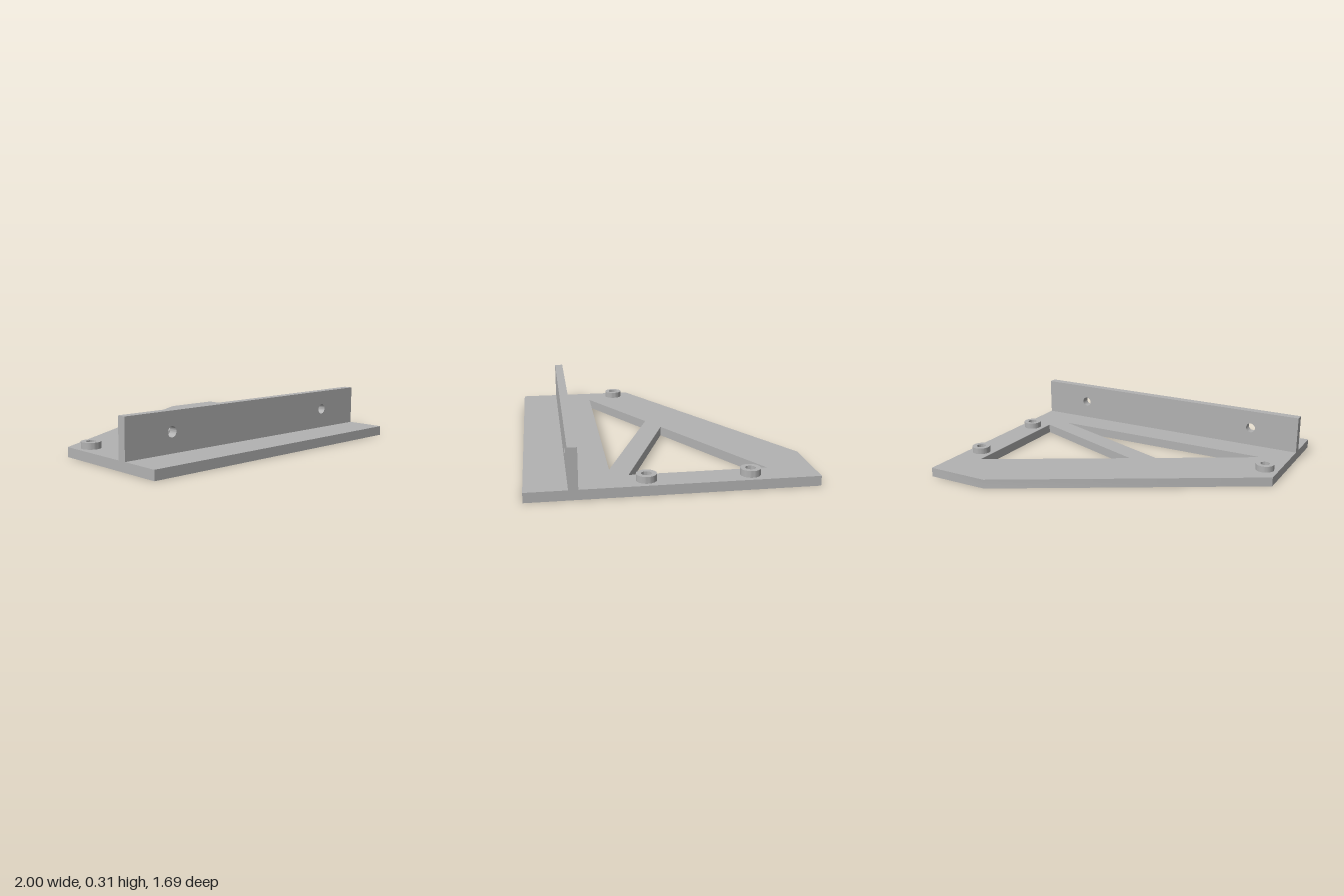
import * as THREE from 'three';
import { toCreasedNormals } from 'three/addons/utils/BufferGeometryUtils.js';

const PLATE_TOP = 0.06;
const BOSS_HEIGHT = 0.04;
const BOSS_CENTRES = [[0.91, -0.45], [0.91, 0.155], [-0.91, 0.155]];

// Closed outline from [x, y] pairs
const outline = (Type, points) => new Type(points.map(([x, y]) => new THREE.Vector2(x, y)));

// Round hole or disc
function circle(Type, x, y, radius) {
  const path = new Type();
  path.absarc(x, y, radius, 0, Math.PI * 2, false);
  return path;
}

// Straight extrusion with crisp edges and smooth bores
function extrude(shape, depth) {
  const geometry = new THREE.ExtrudeGeometry(shape, { depth, bevelEnabled: false, curveSegments: 24 });
  return toCreasedNormals(geometry, 0.6);
}

export function createModel() {
  const group = new THREE.Group();
  group.name = 'mountingBracket';
  const grey = new THREE.MeshStandardMaterial({ color: 0xb2b2b2 });
  grey.name = 'grey';

  const add = (name, geometry) => {
    const mesh = new THREE.Mesh(geometry, grey);
    mesh.name = name;
    group.add(mesh);
    return mesh;
  };
  // Plan points are [x, z]; the shape lies flat after the turn
  const plan = (points) => points.map(([x, z]) => [x, -z]);

  // Base plate with a chamfered rear corner and two triangular windows
  const plate = outline(THREE.Shape, plan([[-1, 0.847], [1, 0.847], [1, -0.847], [0.58, -0.847], [-1, 0.045]]));
  plate.holes.push(
    outline(THREE.Path, plan([[-0.05, -0.085], [0.82, -0.575], [0.82, 0.245]])),
    outline(THREE.Path, plan([[-0.2, 0], [0.72, 0.348], [-0.815, 0.348]])),
    ...BOSS_CENTRES.map(([x, z]) => circle(THREE.Path, x, -z, 0.03)),
  );
  add('basePlate', extrude(plate, PLATE_TOP).rotateX(-Math.PI / 2));

  // Upright flange with two screw holes
  const flange = outline(THREE.Shape, [[-1, PLATE_TOP], [1, PLATE_TOP], [1, 0.306], [-1, 0.306]]);
  for (const side of [-1, 1]) flange.holes.push(circle(THREE.Path, side * 0.667, 0.185, 0.032));
  add('uprightFlange', extrude(flange, 0.056)).position.z = 0.544;

  // Raised ring bosses around the plate holes
  const ring = circle(THREE.Shape, 0, 0, 0.06);
  ring.holes.push(circle(THREE.Path, 0, 0, 0.03));
  const ringGeometry = extrude(ring, BOSS_HEIGHT).rotateX(-Math.PI / 2);
  BOSS_CENTRES.forEach(([x, z], i) => {
    add(`screwBoss${i + 1}`, ringGeometry).position.set(x, PLATE_TOP, z);
  });

  return group;
}
